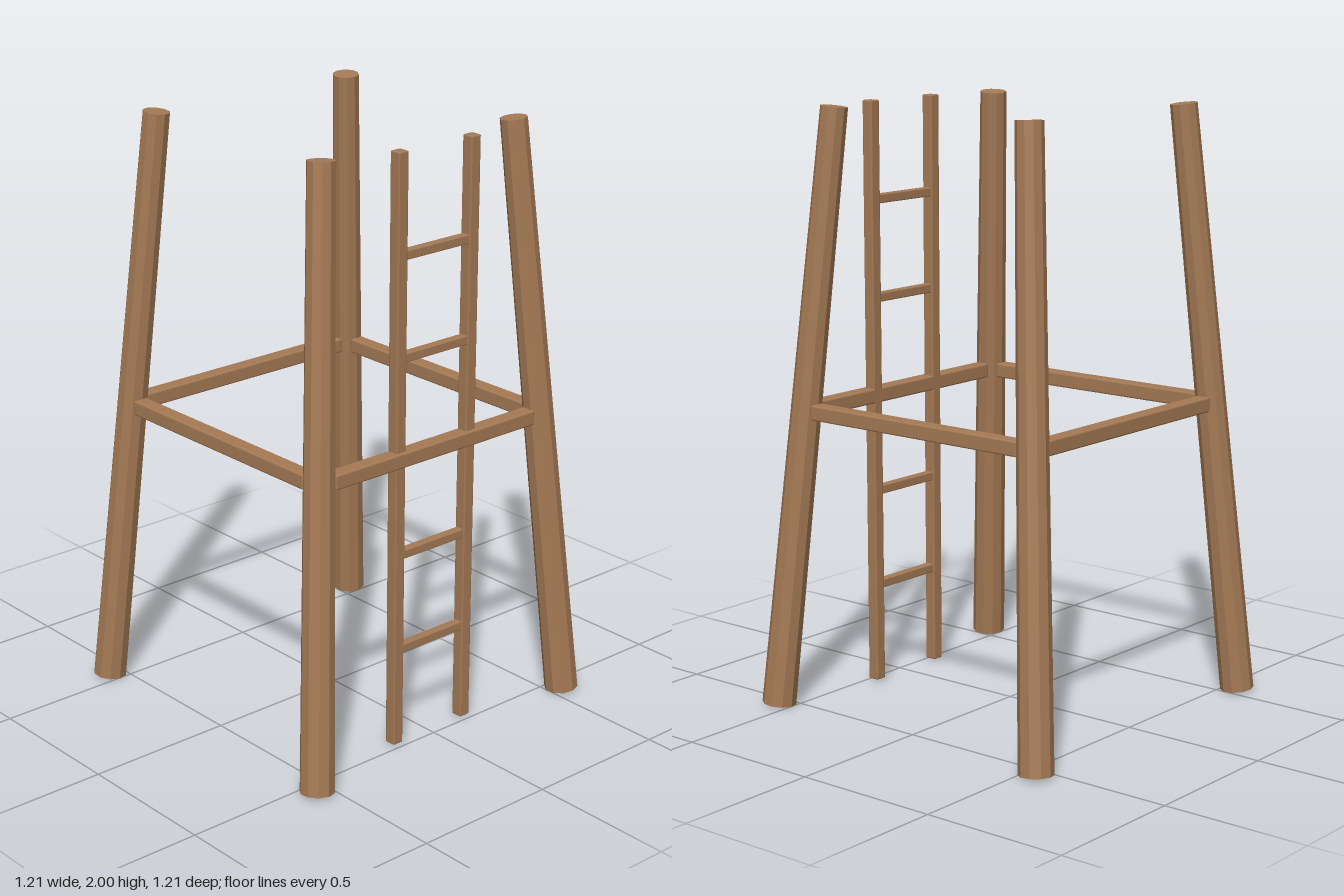
import * as THREE from 'three';
import { RoundedBoxGeometry } from 'three/addons/geometries/RoundedBoxGeometry.js';

export function createModel() {
  const model = new THREE.Group();
  model.name = 'towerFrame';
  const wood = new THREE.MeshStandardMaterial({ color: 0xa67b56, flatShading: true });
  wood.name = 'brown wood';

  // Squared timber with slightly eased edges
  function beam(name, parent, size, pos) {
    const radius = Math.min(...size) * 0.1;
    const mesh = new THREE.Mesh(new RoundedBoxGeometry(...size, 1, radius), wood);
    mesh.name = name;
    mesh.position.set(...pos);
    parent.add(mesh);
  }

  // Round tapered legs, leaning inwards towards the top
  const up = new THREE.Vector3(0, 1, 0);
  for (const sx of [-1, 1]) {
    for (const sz of [-1, 1]) {
      const foot = new THREE.Vector3(sx * 0.55, 0.006, sz * 0.55);
      const head = new THREE.Vector3(sx * 0.4, 1.995, sz * 0.4);
      const axis = head.clone().sub(foot);
      const leg = new THREE.Mesh(new THREE.CylinderGeometry(0.045, 0.057, axis.length(), 10), wood);
      leg.name = (sz > 0 ? 'front' : 'back') + (sx > 0 ? 'Left' : 'Right') + 'Leg';
      leg.position.copy(foot).add(head).multiplyScalar(0.5);
      leg.quaternion.setFromUnitVectors(up, axis.normalize());
      model.add(leg);
    }
  }

  // Square ring of cross beams at half height
  for (const s of [-1, 1]) {
    beam(s > 0 ? 'frontBeam' : 'backBeam', model, [0.86, 0.05, 0.052], [0, 1.005, s * 0.476]);
    beam(s > 0 ? 'leftBeam' : 'rightBeam', model, [0.052, 0.05, 0.86], [s * 0.476, 1.005, 0]);
  }

  // Upright ladder on the front beam
  const ladder = new THREE.Group();
  ladder.name = 'ladder';
  model.add(ladder);
  for (const s of [-1, 1]) {
    beam(s > 0 ? 'leftRail' : 'rightRail', ladder, [0.04, 1.988, 0.04], [s * 0.15, 1.002, 0.47]);
  }
  for (let i = 0; i < 5; i++) {
    beam('rung', ladder, [0.27, 0.03, 0.03], [0, 0.343 + i * 0.331, 0.47]);
  }
  return model;
}
